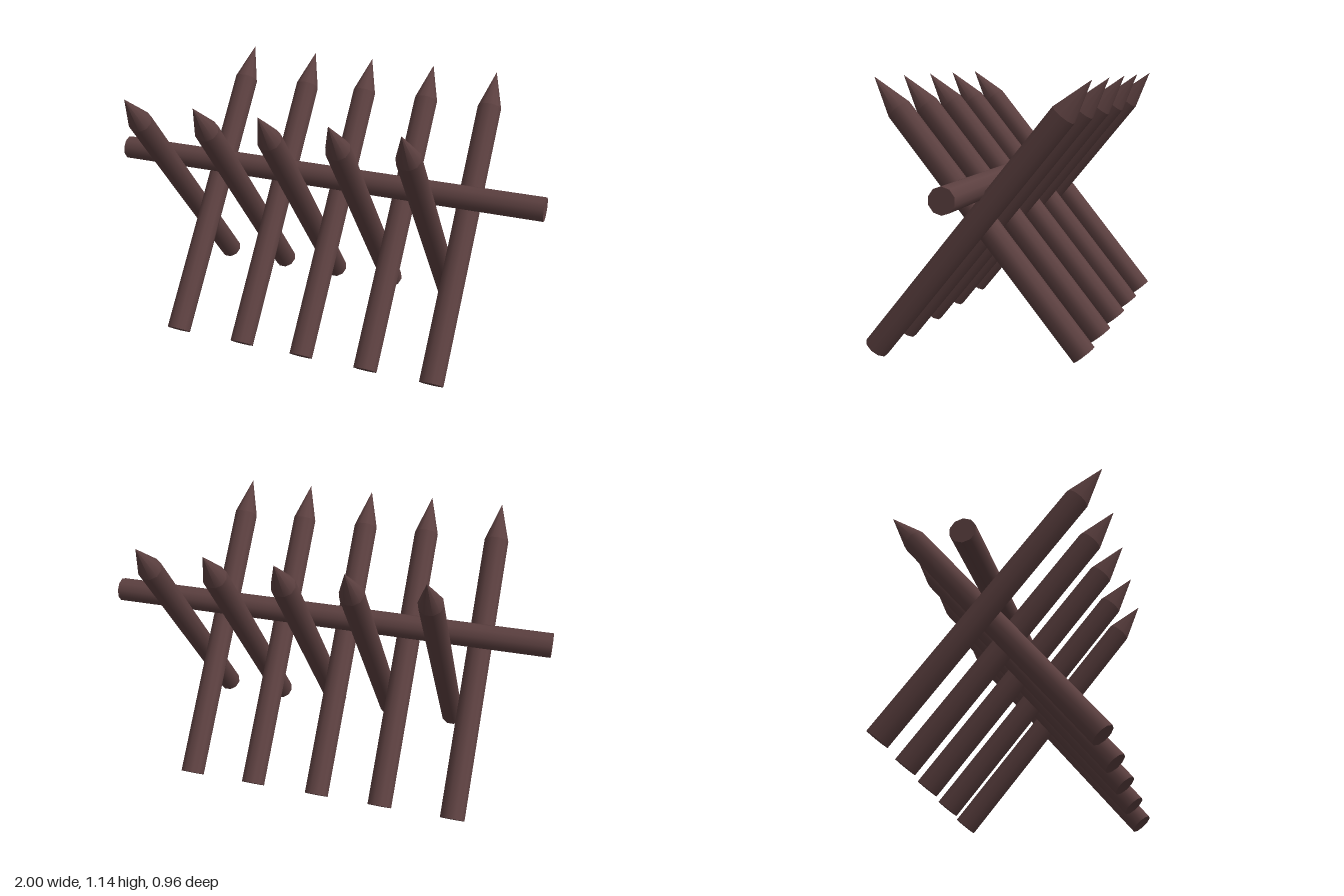
import * as THREE from 'three';

const RADIUS = 0.053;
const SIDES = 10;
const BODY = 1.253; // stake length up to the shoulder
const POINT = 0.171; // length of the sharpened tip
const LEAN = Math.atan2(0.9, 1.105);

export function createModel() {
  const group = new THREE.Group();
  group.name = 'spikedBarricade';
  const wood = new THREE.MeshStandardMaterial({ color: 0x5c4040 });

  // Ten-sided logs, turned so that a corner faces sideways
  const shaftGeo = new THREE.CylinderGeometry(RADIUS, RADIUS, BODY, SIDES, 1, false, Math.PI / 2);
  shaftGeo.translate(0, BODY / 2, 0);
  const tipGeo = new THREE.ConeGeometry(RADIUS, POINT, SIDES, 1, true, Math.PI / 2);
  tipGeo.translate(0, BODY + POINT / 2, 0);

  // One sharpened stake; dir = 1 leans to the front, -1 to the back
  function addStake(x, dir) {
    const stake = new THREE.Group();
    stake.name = dir > 0 ? 'forwardStake' : 'backwardStake';
    const shaft = new THREE.Mesh(shaftGeo, wood);
    shaft.name = 'stakeShaft';
    const tip = new THREE.Mesh(tipGeo, wood);
    tip.name = 'stakeTip';
    stake.add(shaft, tip);
    stake.position.set(x, 0.034, -0.421 * dir);
    stake.rotation.x = LEAN * dir;
    group.add(stake);
  }

  // Crossed pairs along the barricade
  for (const x of [-0.688, -0.368, -0.081, 0.217, 0.511]) {
    addStake(x, 1);
    addStake(x + 0.151, -1);
  }

  // Horizontal log resting in the crossings
  const bar = new THREE.Mesh(
    new THREE.CylinderGeometry(RADIUS, RADIUS, 2, SIDES, 1, false, Math.PI / 2), wood);
  bar.name = 'crossbar';
  bar.rotation.z = Math.PI / 2;
  bar.position.set(0, 0.712, -0.011);
  group.add(bar);

  return group;
}
